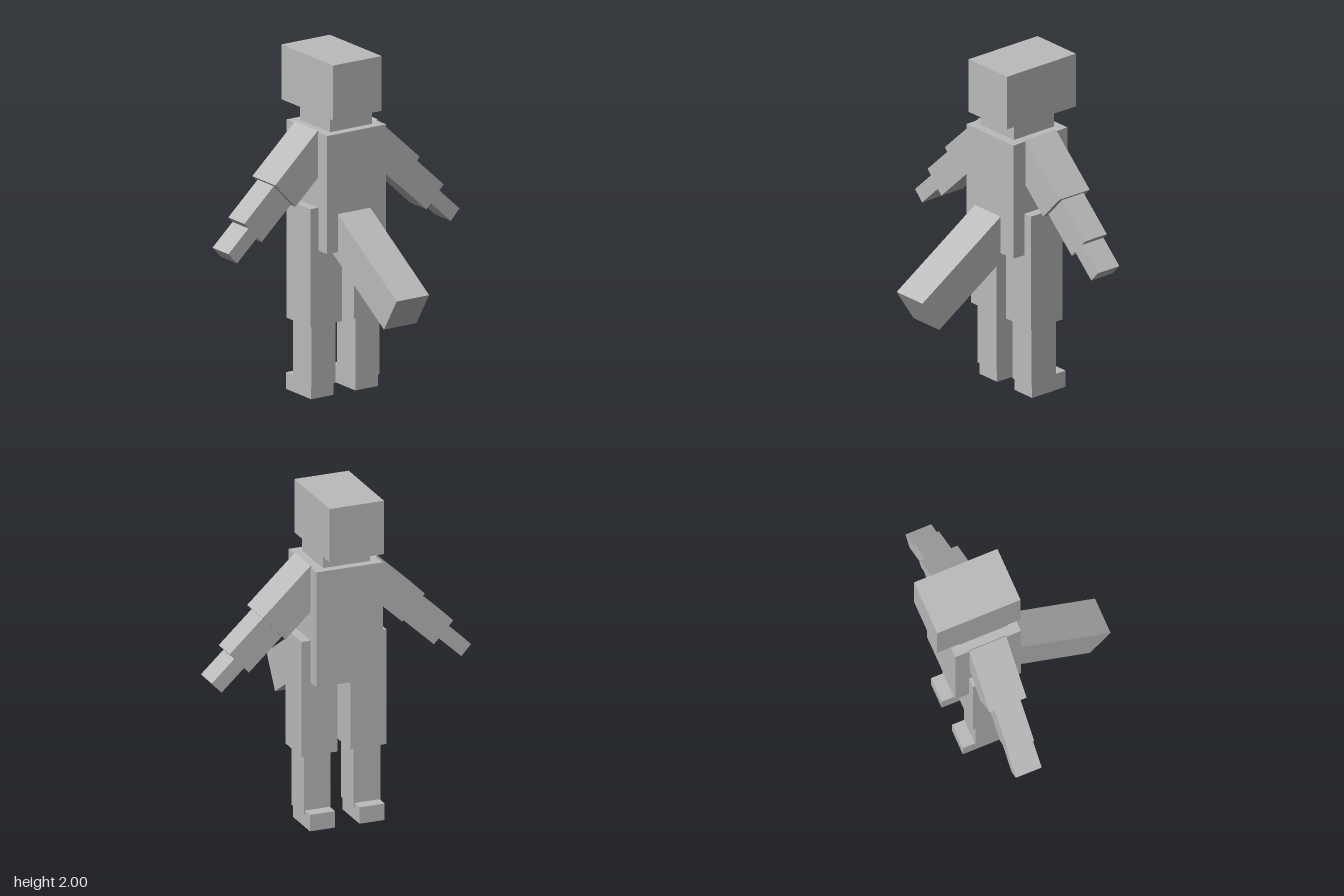
import * as THREE from 'three';

export function createModel() {
  const group = new THREE.Group();
  const grey = new THREE.MeshStandardMaterial({ color: 0xbbbbbb });
  grey.name = 'plain grey';

  // Box given by its centre and size
  function box(name, [x, y, z], [w, h, d], parent = group) {
    const mesh = new THREE.Mesh(new THREE.BoxGeometry(w, h, d), grey);
    mesh.name = name;
    mesh.position.set(x, y, z);
    parent.add(mesh);
    return mesh;
  }

  // Head, neck and torso
  box('head', [-0.003, 1.8375, -0.285], [0.335, 0.325, 0.515]);
  box('neck', [0, 1.628, -0.245], [0.29, 0.1, 0.3]);
  box('torso', [0, 1.235, -0.2425], [0.41, 0.7, 0.405]);

  // Tail slanting down and forward
  const tail = box('tail', [-0.0175, 0.825, 0.1875], [0.225, 0.234, 0.7]);
  tail.rotation.x = 0.57;

  for (const side of [1, -1]) {
    const label = side > 0 ? 'left' : 'right';

    // Leg with the foot pointing backwards
    const leg = new THREE.Group();
    leg.name = label + 'Leg';
    box('thigh', [side * 0.151, 0.79, -0.2425], [0.221, 0.7, 0.235], leg);
    box('shin', [side * 0.153, 0.257, -0.2425], [0.165, 0.37, 0.185], leg);
    box('foot', [side * 0.153, 0.05, -0.285], [0.155, 0.1, 0.25], leg);
    group.add(leg);

    // Arm sloping outwards and down
    const arm = new THREE.Group();
    arm.name = label + 'Arm';
    const pieces = [
      box('upperArm', [side * 0.2825, 1.3825, -0.245], [0.403, 0.205, 0.228], arm),
      box('forearm', [side * 0.5275, 1.1475, -0.245], [0.28, 0.175, 0.16], arm),
      box('hand', [side * 0.7, 0.9875, -0.245], [0.19, 0.088, 0.159], arm),
    ];
    for (const piece of pieces) piece.rotation.z = -side * 0.75;
    group.add(arm);
  }

  return group;
}
